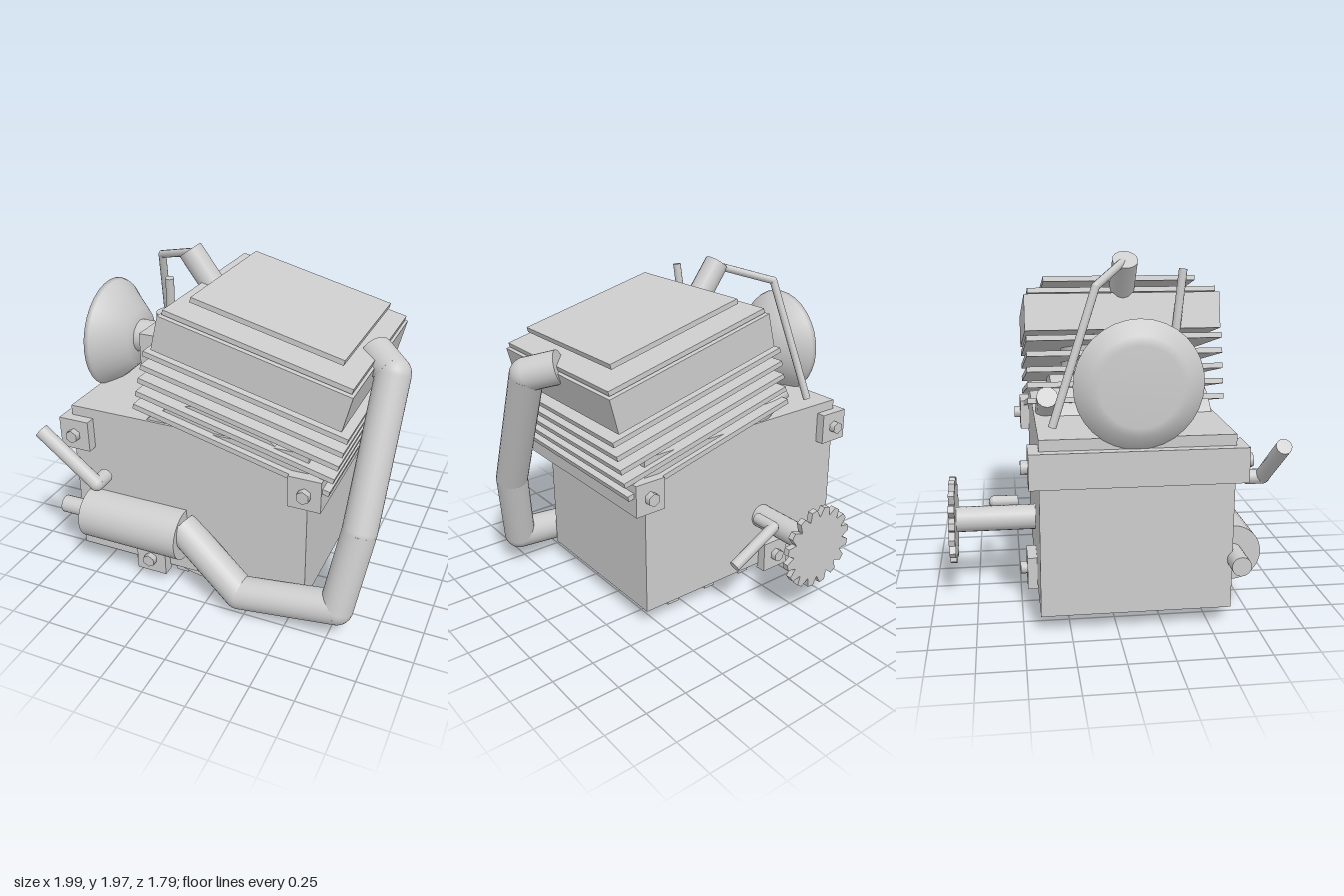
import * as THREE from 'three';

const metal = new THREE.MeshStandardMaterial({ color: 0xcccccc });
metal.name = 'bare metal';
const MID = 0.105; // z of the engine's centre plane

export function createModel() {
  const engine = new THREE.Group();
  engine.name = 'engine';
  const add = (name, geo, parent = engine) => {
    const m = new THREE.Mesh(geo, metal);
    m.name = name;
    parent.add(m);
    return m;
  };
  // box from its min and max extents
  const box = (name, x0, x1, y0, y1, z0, z1, parent) => {
    const m = add(name, new THREE.BoxGeometry(x1 - x0, y1 - y0, z1 - z0), parent);
    m.position.set((x0 + x1) / 2, (y0 + y1) / 2, (z0 + z1) / 2);
    return m;
  };
  // round bar between two points
  const rod = (name, a, b, r, sides = 20, parent = engine) => {
    const p = new THREE.Vector3(...a), q = new THREE.Vector3(...b);
    const d = q.clone().sub(p);
    const m = add(name, new THREE.CylinderGeometry(r, r, d.length(), sides), parent);
    m.position.copy(p).add(q).multiplyScalar(0.5);
    m.quaternion.setFromUnitVectors(new THREE.Vector3(0, 1, 0), d.normalize());
    return m;
  };
  // chain of bars with rounded corners
  const pipe = (name, pts, r, sides = 20) => {
    const g = new THREE.Group();
    g.name = name;
    engine.add(g);
    for (let i = 0; i < pts.length - 1; i++) {
      rod(name + 'Section', pts[i], pts[i + 1], r, sides, g);
      if (i > 0) add(name + 'Bend', new THREE.SphereGeometry(r, sides, 14), g).position.set(...pts[i]);
    }
  };

  // Crankcase and feet
  box('engineBlock', -0.9, 0.57, 0.1, 1.07, -0.41, 0.615);
  rod('crankHousing', [-0.02, 0.637, -0.3], [-0.02, 0.637, 0.6], 0.585, 40);
  for (const x of [-0.545, -0.26, 0.02, 0.305])
    box('foot', x - 0.039, x + 0.039, 0, 0.12, -0.31, 0.53);

  // Mounting bars and pads with hex bolts at both ends
  box('upperMountBar', -0.95, -0.76, 0.82, 1.01, -0.465, 0.675);
  box('rearMountBar', 0.475, 0.665, 0.765, 0.955, -0.465, 0.675);
  for (const [z0, z1] of [[-0.465, -0.4], [0.6, 0.675]])
    box('lowerMountPad', -0.487, -0.297, 0.065, 0.255, z0, z1);
  for (const [x, y] of [[-0.855, 0.915], [0.572, 0.86], [-0.392, 0.16]])
    for (const s of [-1, 1])
      rod('bolt', [x, y, MID + s * 0.54], [x, y, MID + s * 0.608], 0.039, 6);

  // Finned cylinder and head, leaning over as one assembly
  const barrel = new THREE.Group();
  barrel.name = 'cylinderAssembly';
  barrel.rotation.z = -THREE.MathUtils.degToRad(14);
  engine.add(barrel);
  const slab = (name, len, wid, v0, v1) =>
    box(name, -0.13 - len / 2, -0.13 + len / 2, v0, v1, MID - wid / 2, MID + wid / 2, barrel);
  rod('barrel', [-0.128, 0.8, MID], [-0.128, 1.43, MID], 0.32, 32, barrel);
  for (let i = 0; i < 5; i++) slab('coolingFin', 1.195, 1.1, 1.355 - i * 0.086, 1.385 - i * 0.086);
  slab('cylinderHead', 1.105, 1.11, 1.415, 1.62);
  slab('headPlate', 1.075, 1.07, 1.627, 1.655);
  slab('topPlate', 0.875, 0.88, 1.705, 1.735);

  // Spark plug cap and bent lead
  rod('sparkPlugCap', [-0.35, 1.925, MID], [-0.22, 1.75, MID], 0.072, 16);
  rod('sparkPlug', [-0.26, 1.8, MID], [-0.16, 1.66, MID], 0.045, 12);
  pipe('plugLead', [[-0.31, 1.92, 0.11], [-0.64, 1.81, -0.09], [-0.74, 1.09, -0.33]], 0.023, 10);
  rod('throttleCable', [-0.305, 1.87, 0.44], [-0.355, 1.17, 0.36], 0.024, 10);

  // Carburettor, intake and air filter
  box('carburettor', -0.6, -0.38, 1.22, 1.45, -0.11, 0.305);
  rod('carburettorCap', [-0.49, 1.44, 0.1], [-0.49, 1.53, 0.1], 0.09);
  rod('intake', [-0.75, 1.345, 0.1], [-0.4, 1.345, 0.1], 0.1);
  rod('intakePort', [-0.4, 1.345, 0.1], [-0.1, 1.345, 0.1], 0.16);
  rod('breather', [-0.5, 1.2, -0.34], [-0.28, 1.06, -0.34], 0.06, 12);
  const profile = [[0, 0], [0.21, 0], [0.255, 0.012], [0.335, 0.06], [0.325, 0.085],
    [0.29, 0.12], [0.17, 0.255], [0, 0.255]];
  const filter = add('airFilter', new THREE.LatheGeometry(profile.map(p => new THREE.Vector2(...p)), 32));
  filter.rotation.z = -Math.PI / 2;
  filter.position.set(-0.962, 1.34, 0.1);

  // Exhaust pipe, silencer and tailpipe
  pipe('exhaustPipe', [[-0.19, 0.435, 0.65], [0.22, 0.14, 0.735], [0.79, 0.2, 0.71],
    [0.865, 0.66, 0.6], [0.895, 1.44, 0.24], [0.76, 1.49, 0.11]], 0.097, 24);
  rod('silencer', [-0.81, 0.375, 0.64], [-0.17, 0.375, 0.64], 0.155, 32);
  rod('tailpipe', [-1, 0.375, 0.64], [-0.8, 0.375, 0.64], 0.053);

  // Kick lever and gear lever
  pipe('kickLever', [[-0.61, 0.74, 0.755], [-0.61, 0.74, 0.85], [-0.95, 1.01, 0.85]], 0.043, 12);
  pipe('gearLever', [[-0.185, 0.5, -0.505], [-0.185, 0.5, -0.645], [0.115, 0.345, -0.645]], 0.034, 10);

  // Output shaft and toothed sprocket
  rod('outputShaft', [-0.305, 0.44, -0.4], [-0.305, 0.44, -0.87], 0.073);
  const teeth = 16, outline = [];
  for (let i = 0; i < teeth; i++)
    for (const [t, r] of [[0, 0.2], [0.3, 0.25], [0.7, 0.25], [0.95, 0.2]]) {
      const a = (i + t) / teeth * Math.PI * 2;
      outline.push(new THREE.Vector2(Math.cos(a) * r, Math.sin(a) * r));
    }
  add('sprocket', new THREE.ExtrudeGeometry(new THREE.Shape(outline), { depth: 0.035, bevelEnabled: false }))
    .position.set(-0.305, 0.44, -0.9);

  return engine;
}
